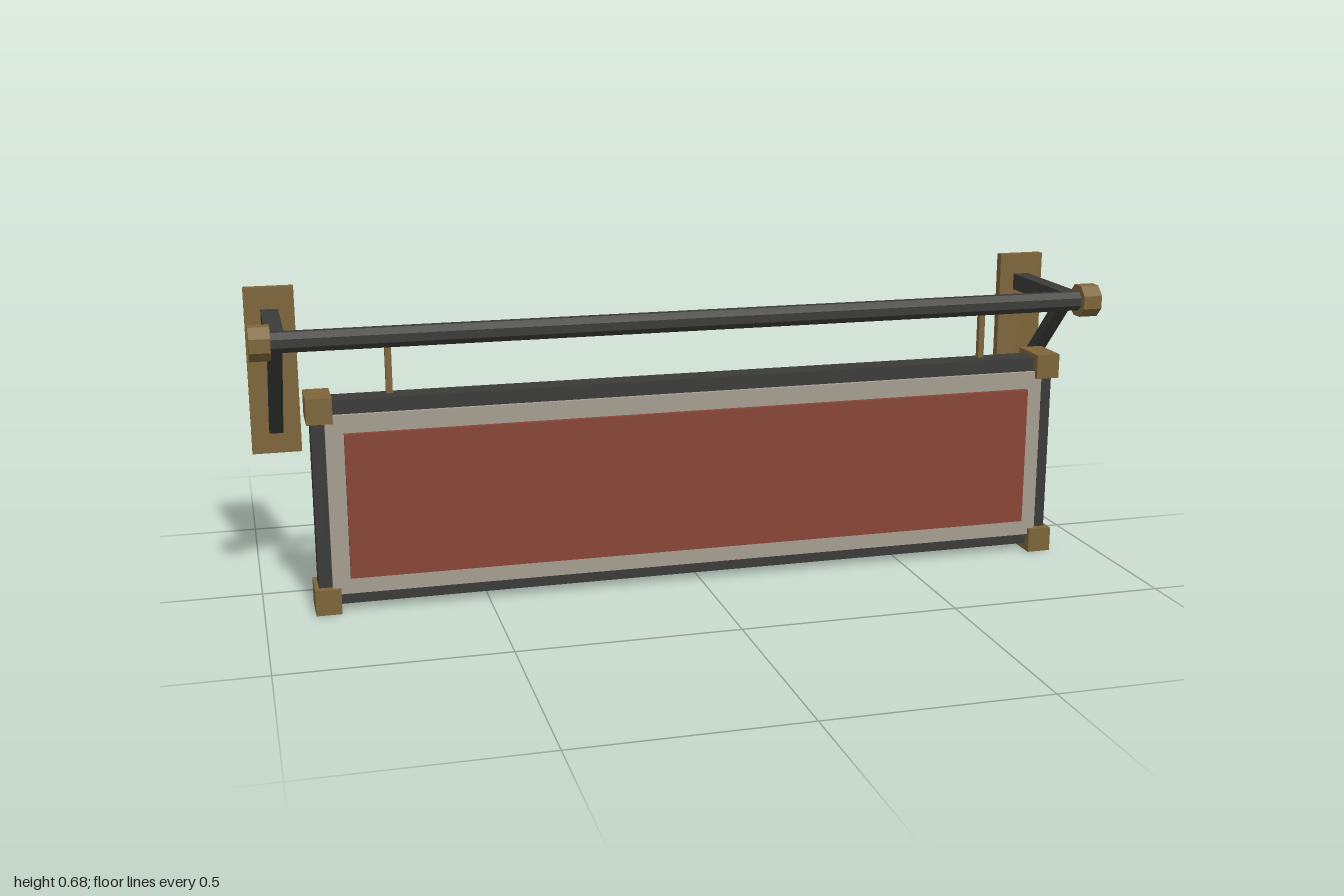
import * as THREE from 'three';

const paint = (color) => new THREE.MeshStandardMaterial({ color, flatShading: true });

export function createModel() {
  const model = new THREE.Group();
  const iron = paint(0x3a3a38), brass = paint(0x7d653a);
  const stone = paint(0xa59e90), red = paint(0x884535);
  const Z = 0.13, BAR_Y = 0.614;

  const add = (name, geometry, material, x, y, z, parent = model) => {
    const mesh = new THREE.Mesh(geometry, material);
    mesh.name = name;
    mesh.position.set(x, y, z);
    parent.add(mesh);
    return mesh;
  };
  const box = (name, material, w, h, d, x, y, z, parent) =>
    add(name, new THREE.BoxGeometry(w, h, d), material, x, y, z, parent);

  // Eight-sided rod along x, flat side up; apothem is half its height
  const octagon = (apothem, length) =>
    new THREE.CylinderGeometry(apothem / Math.cos(Math.PI / 8), apothem / Math.cos(Math.PI / 8), length, 8)
      .rotateY(Math.PI / 8).rotateZ(Math.PI / 2);

  // Sign board: backing with a raised coloured panel on both faces
  const sign = new THREE.Group();
  sign.name = 'sign';
  model.add(sign);
  box('backing', stone, 1.7, 0.41, 0.08, 0, 0.248, Z, sign);
  box('panel', red, 1.62, 0.33, 0.105, 0, 0.247, Z, sign);

  // Frame rails, posts and corner blocks
  for (const y of [0.034, 0.468]) {
    box('frameRail', iron, 1.7, 0.034, 0.06, 0, y, Z, sign);
  }
  for (const s of [-1, 1]) {
    box('framePost', iron, 0.034, 0.4, 0.06, s * 0.863, 0.248, Z, sign);
    for (const y of [0.029, 0.466]) {
      box('cornerBlock', brass, 0.057, 0.058, 0.1, s * 0.861, y, Z, sign);
    }
  }

  // Hanging bar
  add('hangingBar', octagon(0.0225, 1.92), iron, 0, BAR_Y, Z);

  for (const s of [-1, 1]) {
    add('barCap', octagon(0.0375, 0.046), brass, s * 0.977, BAR_Y, Z);
    box('hanger', brass, 0.014, 0.11, 0.014, s * 0.704, 0.543, Z);

    // Wall bracket: plate, arm and diagonal brace
    const bracket = new THREE.Group();
    bracket.name = 'wallBracket';
    bracket.position.x = s * 0.943;
    model.add(bracket);
    box('wallPlate', brass, 0.114, 0.394, 0.022, 0, 0.487, -0.171, bracket);
    box('arm', iron, 0.04, 0.04, 0.29, 0, 0.613, -0.015, bracket);
    const dz = 0.25, dy = 0.26;
    const brace = box('brace', iron, 0.032, 0.0255, Math.hypot(dz, dy), 0, 0.348 + dy / 2, -0.162 + dz / 2, bracket);
    brace.rotation.x = -Math.atan2(dy, dz);
  }
  return model;
}
